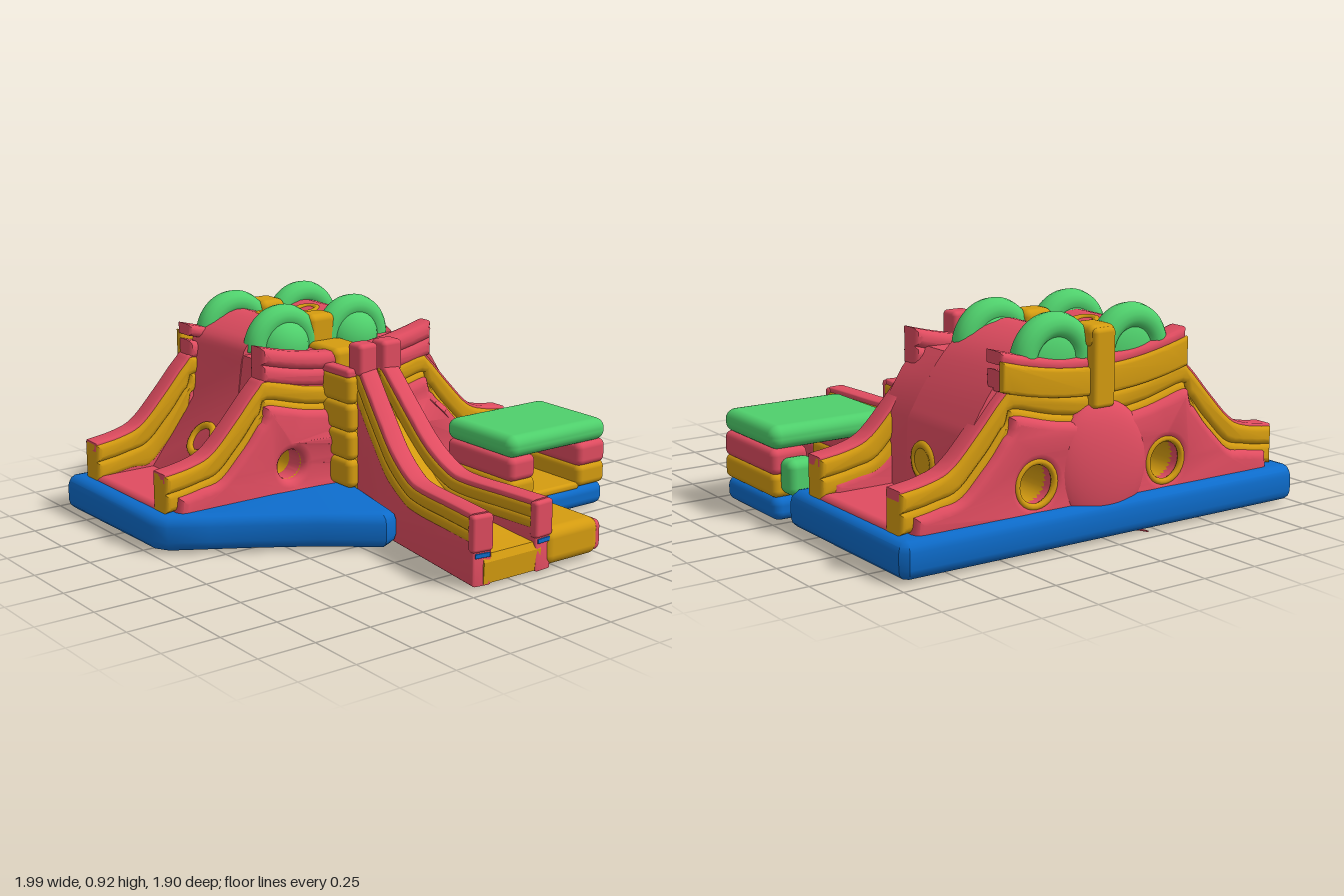
import * as THREE from 'three';
import { toCreasedNormals } from 'three/addons/utils/BufferGeometryUtils.js';
import { RoundedBoxGeometry } from 'three/addons/geometries/RoundedBoxGeometry.js';

export function createModel() {
  const group = new THREE.Group();
  group.name = 'inflatableCastle';
  const mat = (name, color) => new THREE.MeshStandardMaterial({ name, color, side: THREE.DoubleSide });
  const red = mat('red', 0xe04c60), yellow = mat('yellow', 0xd59c10);
  const blue = mat('blue', 0x0d6ccb), green = mat('green', 0x4fd06c);

  const add = (name, geo, material, parent = group) => {
    const m = new THREE.Mesh(geo, material);
    m.name = name;
    parent.add(m);
    return m;
  };
  // Rounded block given by its limits on each axis
  const block = (name, material, x0, x1, y0, y1, z0, z1, r = 0.03, parent = group) => {
    const w = x1 - x0, h = y1 - y0, d = z1 - z0;
    const m = add(name, new RoundedBoxGeometry(w, h, d, 3, Math.min(r, w / 2.1, h / 2.1, d / 2.1)), material, parent);
    m.position.set((x0 + x1) / 2, (y0 + y1) / 2, (z0 + z1) / 2);
  };
  // Soft-edged extrusion from z0 to z1
  const extrude = (pts, z0, z1, bevel, holes = []) => {
    const shape = new THREE.Shape(pts.map(p => new THREE.Vector2(p[0], p[1])));
    for (const [x, y, r] of holes) {
      const h = new THREE.Path();
      h.absarc(x, y, r, 0, Math.PI * 2, true);
      shape.holes.push(h);
    }
    const g = new THREE.ExtrudeGeometry(shape, {
      depth: z1 - z0 - 2 * bevel, bevelEnabled: bevel > 0, bevelThickness: bevel, bevelSize: bevel,
      bevelOffset: -bevel, bevelSegments: 3, curveSegments: 24,
    });
    g.translate(0, 0, z0 + bevel);
    return toCreasedNormals(g, 0.7);
  };
  const smooth = (pts, n = 30) =>
    new THREE.SplineCurve(pts.map(p => new THREE.Vector2(p[0], p[1]))).getPoints(n).map(v => [v.x, v.y]);
  // Path lowered by a distance measured square to its slope
  const lower = (path, d) => path.map(([x, y], i) => {
    const a = path[Math.max(i - 1, 0)], b = path[Math.min(i + 1, path.length - 1)];
    return [x, y - d * Math.hypot(1, (b[1] - a[1]) / (b[0] - a[0]))];
  });
  // Strip that follows a path between two depths below it
  const strip = (path, a, b) => [...lower(path, b), ...lower(path, a).reverse()];
  const mirror = half => [...half, ...half.slice(0, -1).reverse().map(([x, y]) => [-x, y])];

  // Blue base cushion with the slanted front corner
  const outline = [[-0.97, 0.95], [-1, 0.91], [-0.99, 0.2], [-0.95, 0.13], [-0.8, 0.04], [-0.65, -0.05], [-0.42, -0.2],
    [-0.2, -0.38], [-0.12, -0.34], [-0.02, 0.12], [0.45, 0.06], [0.93, 0.06], [0.97, 0.1], [0.97, 0.92], [0.94, 0.95]];
  add('baseCushion', extrude(outline, 0.015, 0.17, 0.045).rotateX(-Math.PI / 2), blue);
  // Slide fabric continuing flat under the base
  const under = (name, pts, material, y) =>
    add(name, extrude(pts.map(([x, z]) => [x, -z]), y, y + 0.006, 0).rotateX(-Math.PI / 2), material);
  under('undersideFlap', [[-0.1, 0.05], [0.47, 0], [0.47, -0.18], [0.1, -0.42], [-0.2, -0.72], [-0.13, -0.2]], yellow, 0.01);
  under('undersideTip', [[-0.12, -0.22], [0.0, -0.5], [-0.2, -0.94]], red, 0.007);

  // Main body: twin-humped core with tunnels running front to back
  const tunnels = r => [[-0.315, 0.28, r], [0.33, 0.28, r]];
  const hump = smooth([[-0.4, 0.7], [-0.36, 0.78], [-0.2, 0.85], [-0.08, 0.83], [0, 0.81], [0.08, 0.83], [0.2, 0.85],
    [0.37, 0.78], [0.5, 0.64], [0.6, 0.48]]);
  add('slideCore', extrude([[0.61, 0.1], [-0.67, 0.1], [-0.65, 0.19], [-0.43, 0.48], ...hump],
    -0.82, -0.4, 0, tunnels(0.093)), red);
  add('lowerCore', extrude([[-0.67, 0.1], [0.61, 0.1], [0.6, 0.48], [0.5, 0.64], [0.42, 0.73], [-0.39, 0.73],
    [-0.43, 0.48], [-0.65, 0.19]], -0.41, -0.2, 0, tunnels(0.093)), red);
  block('sideLanding', red, -0.93, 0.93, 0.1, 0.19, -0.82, -0.22);

  // Front and back walls: panel with portholes, striped rails, raised top rail
  const rail = smooth(mirror([[-0.93, 0.34], [-0.8, 0.36], [-0.7, 0.4], [-0.58, 0.52], [-0.47, 0.64], [-0.41, 0.67],
    [-0.2, 0.62], [0, 0.6]]), 60);
  const topRail = smooth([[-0.44, 0.81], [-0.3, 0.775], [-0.15, 0.75], [0.02, 0.74], [0.19, 0.75], [0.34, 0.775], [0.48, 0.81]]);
  const panelTop = lower(rail, 0.11).filter(p => Math.abs(p[0]) < 0.89).reverse();
  const panelPts = [[-0.89, 0.1], [0.1, 0.1], [0.25, 0.1], [0.6, 0.1], [0.89, 0.1], ...panelTop];
  for (const [side, z, p0, p1, r] of [['front', -0.225, -0.29, -0.135, 0.066], ['back', -0.815, -0.905, -0.76, 0.086]]) {
    const panel = extrude(panelPts, p0, p1, 0.035, tunnels(r));
    // Front panel swells forward on the side next to the run-out mat
    const pos = panel.attributes.position;
    for (let i = 0; i < pos.count; i++) {
      const x = pos.getX(i), zi = pos.getZ(i);
      if (zi > -0.2 && x > 0.09 && pos.getY(i) < 0.42) pos.setZ(i, zi + 0.07 * Math.max(0, 1 - Math.abs(x - 0.25) / 0.6));
    }
    panel.computeVertexNormals();
    add(side + 'Panel', toCreasedNormals(panel, 0.7), red);
    const back = side === 'back';
    add(side + 'RailCap', extrude(strip(rail, 0, 0.04), z - 0.047, z + 0.047, 0.01), red);
    add(side + 'RailUpper', extrude(strip(rail, 0.008, 0.09), z - 0.06, z + 0.06, 0.025), yellow);
    add(side + 'RailLower', extrude(strip(rail, 0.085, 0.17), z - 0.06, z + 0.06, 0.025), yellow);
    add(side + 'TopRailUpper', extrude(strip(topRail, 0, back ? 0.05 : 0.075), z - 0.055, z + 0.055, back ? 0.02 : 0.03), red);
    add(side + 'TopRailLower', extrude(strip(topRail, 0.07, 0.15), z - 0.055, z + 0.055, 0.03), red);
  }
  // Yellow outer band behind the back top rail
  add('backTopBand', extrude(strip(topRail, 0.035, 0.15), -0.885, -0.85, 0.015), yellow);
  const bulge = add('backBulge', new THREE.SphereGeometry(1, 28, 16), red);
  bulge.scale.set(0.23, 0.27, 0.085);
  bulge.position.set(0, 0.3, -0.865);

  // Tunnel linings, wider at the back
  for (const [x, y] of tunnels(0)) {
    const lining = new THREE.CylinderGeometry(0.066, 0.088, 0.72, 28, 1, true).rotateX(Math.PI / 2);
    add('tunnelLining', lining, yellow).position.set(x, y, -0.53);
    add('tunnelRim', new THREE.TorusGeometry(0.09, 0.014, 8, 28), yellow).position.set(x, y, -0.89);
  }

  // Yellow rings on the humps and the two side slopes
  const ring = (name, x, y, z, normal, R, filled) => {
    const g = new THREE.Group();
    g.name = name;
    add('rim', new THREE.TorusGeometry(R, 0.018, 8, 28), yellow, g);
    if (filled) add('disc', new THREE.CircleGeometry(R, 28), yellow, g).position.z = 0.012;
    g.position.set(x, y, z);
    g.quaternion.setFromUnitVectors(new THREE.Vector3(0, 0, 1), new THREE.Vector3(...normal).normalize());
    group.add(g);
  };
  ring('rightSlopeRing', 0.599, 0.33, -0.52, [1, 0, 0], 0.067, true);
  ring('leftSlopeRing', -0.53, 0.345, -0.53, [-0.29, 0.22, 0], 0.07, false);
  for (const x of [-0.095, 0.1]) ring('topRing', x, 0.83, -0.63, [-x, 0.6, 0], 0.053, false);

  // Green arches with domed infill
  for (const [z, depth] of [[-0.415, 0.11], [-0.81, 0.05]]) {
    for (const x of [-0.18, 0.2]) {
      const arch = add('arch', new THREE.TorusGeometry(0.135, 0.055, 14, 28, Math.PI), green);
      arch.position.set(x, 0.74, z);
      const dome = add('archInfill', new THREE.SphereGeometry(0.13, 24, 14), green);
      dome.scale.z = depth / 0.13;
      dome.position.set(x, 0.74, z);
    }
  }
  block('frontStrap', yellow, -0.06, 0.08, 0.7, 0.87, -0.48, -0.36);
  block('backStrap', yellow, -0.055, 0.075, 0.78, 0.87, -0.9, -0.75);
  block('backStrapDrop', yellow, -0.045, 0.065, 0.54, 0.86, -0.91, -0.85, 0.02);

  // Upper landing of the front slide
  block('landingFloor', yellow, -0.07, 0.11, 0.5, 0.755, -0.38, -0.16);
  block('landingStep', yellow, -0.07, 0.11, 0.2, 0.6, -0.2, -0.04);
  for (const x of [-0.09, 0.13]) {
    for (let i = 0; i < 4; i++)
      block('landingSide', yellow, x - 0.035, x + 0.035, 0.17 + i * 0.125, 0.3 + i * 0.125, -0.2, 0.01);
    block('landingSideCap', red, x - 0.03, x + 0.03, 0.66, 0.7, -0.2, 0, 0.015);
  }
  block('leftTopPost', red, -0.08, 0.02, 0.67, 0.81, -0.06, 0.035, 0.02);
  block('rightTopPost', red, 0.045, 0.15, 0.67, 0.81, -0.06, 0.035, 0.02);

  // Front slide floor, widening toward the bottom
  const floorTop = smooth([[0.93, 0.14], [0.75, 0.16], [0.55, 0.19], [0.35, 0.29], [0.05, 0.55], [-0.1, 0.62]]);
  const floor = extrude([[-0.1, 0.02], [0.94, 0.02], [0.945, 0.11], ...floorTop], -1, 1, 0).rotateY(-Math.PI / 2);
  const fp = floor.attributes.position;
  for (let i = 0; i < fp.count; i++) {
    const t = (fp.getZ(i) + 0.1) / 1.05;
    fp.setX(i, 0.035 * (1 - t) + fp.getX(i) * (0.05 + 0.1 * t));
  }
  floor.computeVertexNormals();
  add('frontSlide', floor, yellow);

  // Slide side walls: red skirt and cap, yellow bands
  const wallPath = smooth([[0, 0.72], [0.05, 0.67], [0.18, 0.53], [0.3, 0.41], [0.42, 0.335], [0.52, 0.31], [0.75, 0.31], [0.93, 0.31]]);
  for (const [name, x0, x1] of [['left', -0.025, -0.155], ['right', 0.09, 0.165]]) {
    const wall = new THREE.Group();
    wall.name = name + 'SlideWall';
    add('skirt', extrude([[0, 0.015], [0.945, 0.015], [0.945, 0.19], ...lower(wallPath, 0.1).reverse()],
      -0.045, 0.045, 0.012), red, wall);
    add('lowerBand', extrude(strip(wallPath, 0.065, 0.12), -0.05, 0.05, 0.02), yellow, wall);
    add('upperBand', extrude(strip(wallPath, 0.012, 0.075), -0.05, 0.05, 0.02), yellow, wall);
    add('cap', extrude(strip(wallPath, -0.005, 0.035), -0.043, 0.043, 0.012), red, wall);
    block('endPost', red, 0.91, 0.952, 0.155, 0.31, -0.05, 0.05, 0.015, wall);
    block('endPatch', blue, 0.942, 0.95, 0.132, 0.152, -0.035, 0.035, 0.003, wall);
    wall.position.x = x0;
    wall.rotation.y = Math.atan2(-0.95, x1 - x0);
    group.add(wall);
  }
  // Low run-out mat beside the slide
  block('runOutMat', yellow, 0.17, 0.475, 0.02, 0.18, -0.04, 0.95, 0.045);
  block('runOutEdge', red, 0.42, 0.495, 0.03, 0.165, 0.02, 0.94);

  // Small hut with an opening through it
  block('hutBase', blue, 0.43, 0.985, 0.01, 0.115, 0.01, 0.45, 0.04);
  for (const [x0, x1] of [[0.42, 0.57], [0.82, 0.99]]) {
    block('hutLowerWall', yellow, x0, x1, 0.11, 0.215, 0.01, 0.45);
    block('hutUpperWall', red, x0, x1, 0.205, 0.315, 0.01, 0.45);
  }
  block('hutSill', yellow, 0.55, 0.84, 0.1, 0.135, 0.02, 0.44, 0.015);
  block('hutRoof', green, 0.415, 0.99, 0.31, 0.41, 0.005, 0.455, 0.045);
  block('hutJoint', red, 0.56, 0.75, 0.02, 0.12, -0.06, 0.03);
  block('hutThreshold', yellow, 0.55, 0.76, 0.1, 0.16, -0.06, 0.03, 0.02);
  block('hutConnector', green, 0.82, 0.955, 0.13, 0.28, -0.075, 0.03, 0.035);

  return group;
}
